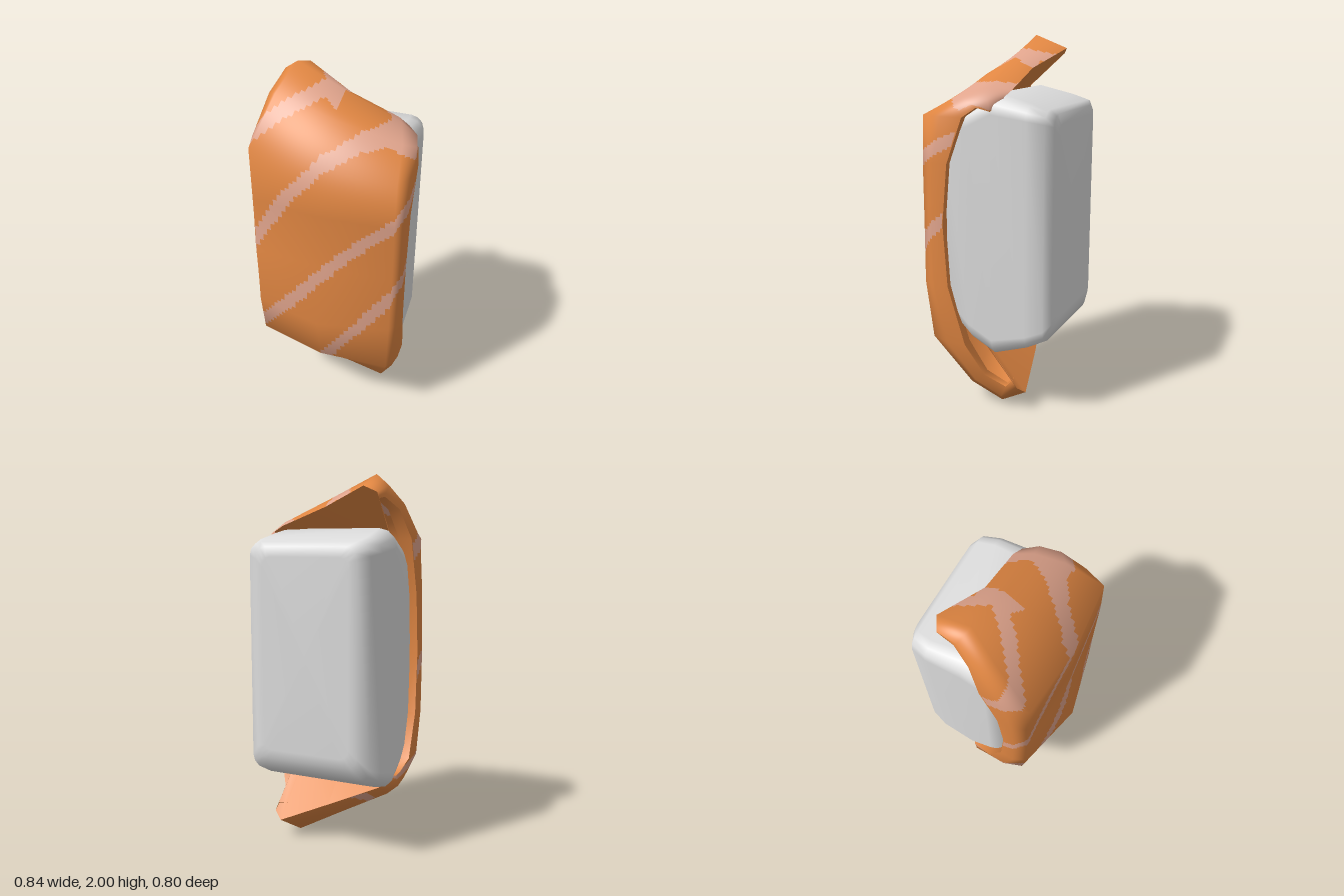
import * as THREE from 'three';

const V = (x, y, z) => new THREE.Vector3(x, y, z);
const lerp = THREE.MathUtils.lerp;

// Slab rows, top flap to bottom flap:
// left corner xyz, right corner xyz, middle z, side dx, side dy, left rim z, right rim z
const ROWS = [
  [-0.265, 1.93, -0.24, 0.25, 1.74, -0.15, -0.15, 0.06, -0.03, -0.17, -0.12],
  [-0.26, 2.0, -0.06, 0.29, 1.76, -0.06, -0.05, 0.08, -0.06, -0.12, -0.08],
  [-0.32, 1.88, 0.09, 0.34, 1.72, 0.09, 0.11, 0.06, -0.03, -0.02, -0.02],
  [-0.38, 1.67, 0.3, 0.38, 1.61, 0.29, 0.33, 0.04, 0, 0.05, 0.05],
  [-0.38, 1.37, 0.3, 0.38, 1.37, 0.3, 0.33, 0.04, 0, 0.14, 0.14],
  [-0.38, 1.05, 0.3, 0.38, 1.05, 0.3, 0.325, 0.04, 0, 0.17, 0.17],
  [-0.38, 0.71, 0.305, 0.375, 0.71, 0.305, 0.395, 0.04, 0, 0.15, 0.15],
  [-0.38, 0.47, 0.27, 0.36, 0.39, 0.27, 0.33, 0.04, 0, 0.06, 0.06],
  [-0.35, 0.33, 0.1, 0.28, 0.12, 0.08, 0.11, 0.05, 0.04, -0.02, -0.02],
  [-0.325, 0.28, -0.03, 0.2, 0.0, -0.07, -0.04, 0.07, 0.06, -0.06, -0.12],
  [-0.3, 0.33, -0.1, 0.24, 0.1, -0.23, -0.17, 0.05, 0.04, -0.08, -0.17],
];

// Centre lines of the pale bands, as [distance across, height]
const BANDS = [
  [[-0.55, 1.6], [-0.4, 1.72], [-0.25, 1.83], [-0.08, 1.91], [0, 1.86]],
  [[-0.55, 0.95], [-0.4, 1.1], [-0.2, 1.42], [0, 1.65], [0.15, 1.73], [0.28, 1.75], [0.5, 1.68]],
  [[-0.55, 0.38], [-0.4, 0.52], [-0.2, 0.76], [0, 1.0], [0.2, 1.22], [0.4, 1.4], [0.55, 1.5]],
  [[-0.25, 0.24], [0, 0.4], [0.15, 0.62], [0.4, 0.96], [0.55, 1.07]],
];

function inBand(s, y) {
  return BANDS.some((line) => line.slice(1).some(([s1, y1], k) => {
    const [s0, y0] = line[k];
    if (s < s0 || s > s1) return false;
    const slope = (y1 - y0) / (s1 - s0);
    const centre = y0 + slope * (s - s0);
    return Math.abs(y - centre) < 0.033 * Math.hypot(1, slope);
  }));
}

// Expand a row to seven points: rim, side, corner, middle, corner, side, rim
function expandRow([lx, ly, lz, rx, ry, rz, mz, dx, dy, rimL, rimR]) {
  return [
    V(lx - dx * 0.9, ly + dy * 2, rimL),
    V(lx - dx, ly + dy, (lz + rimL) / 2),
    V(lx, ly, lz),
    V((lx + rx) / 2, (ly + ry) / 2, mz),
    V(rx, ry, rz),
    V(rx + dx, ry + dy, (rz + rimR) / 2),
    V(rx + dx * 0.9, ry + dy * 2, rimR),
  ];
}

function indexed(points, index) {
  const g = new THREE.BufferGeometry().setFromPoints(points);
  g.setIndex(index);
  g.computeVertexNormals();
  return g;
}

function gridGeometry(rows) {
  const w = rows[0].length, index = [];
  for (let i = 0; i < rows.length - 1; i++)
    for (let j = 0; j < w - 1; j++) {
      const a = i * w + j, b = a + w;
      index.push(a, b, b + 1, a, b + 1, a + 1);
    }
  return indexed(rows.flat(), index);
}

// Finely divide the slab, keeping its smooth normals, and sort faces by colour
function bandedGeometry(rows, n) {
  const w = rows[0].length, h = rows.length;
  const normals = gridGeometry(rows).attributes.normal;
  const across = [-0.14, -0.06, 0, 0, 0, 0.06, 0.14];
  const W = (w - 1) * n + 1, H = (h - 1) * n + 1;
  const pos = [], nor = [], span = [], plain = [], pale = [];
  const mix = (a, b, c, d, u, v) =>
    a.clone().lerp(b, u).lerp(c.clone().lerp(d, u), v);
  const normalAt = (i, j) => V().fromBufferAttribute(normals, i * w + j);
  for (let r = 0; r < H; r++)
    for (let c = 0; c < W; c++) {
      const i = Math.min(Math.floor(r / n), h - 2), j = Math.min(Math.floor(c / n), w - 2);
      const v = r / n - i, u = c / n - j;
      const p = mix(rows[i][j], rows[i][j + 1], rows[i + 1][j], rows[i + 1][j + 1], u, v);
      const q = mix(normalAt(i, j), normalAt(i, j + 1), normalAt(i + 1, j), normalAt(i + 1, j + 1), u, v).normalize();
      pos.push(p.x, p.y, p.z);
      nor.push(q.x, q.y, q.z);
      span.push(p.x + lerp(across[j], across[j + 1], u));
    }
  for (let r = 0; r < H - 1; r++)
    for (let c = 0; c < W - 1; c++) {
      const a = r * W + c, b = a + W;
      const s = (span[a] + span[b + 1]) / 2, y = (pos[a * 3 + 1] + pos[b * 3 + 4]) / 2;
      (inBand(s, y) ? pale : plain).push(a, b, b + 1, a, b + 1, a + 1);
    }
  const g = new THREE.BufferGeometry();
  g.setAttribute('position', new THREE.Float32BufferAttribute(pos, 3));
  g.setAttribute('normal', new THREE.Float32BufferAttribute(nor, 3));
  g.setIndex(plain.concat(pale));
  g.addGroup(0, plain.length, 0);
  g.addGroup(plain.length, pale.length, 1);
  return g;
}

// Rounded block lofted from back to front: z, x range, y range, corner radius
function riceGeometry() {
  const rings = [
    [-0.4, -0.26, 0.235, 0.56, 1.58, 0.05],
    [-0.39, -0.3, 0.28, 0.51, 1.63, 0.06],
    [-0.36, -0.36, 0.33, 0.44, 1.655, 0.07],
    [-0.27, -0.385, 0.355, 0.395, 1.68, 0.08],
    [-0.08, -0.385, 0.36, 0.325, 1.725, 0.1],
    [0.05, -0.38, 0.37, 0.4, 1.66, 0.1],
    [0.17, -0.37, 0.37, 0.52, 1.58, 0.1],
  ];
  const points = [], index = [], n = 16;
  for (const [z, x0, x1, y0, y1, r] of rings)
    for (let k = 0; k < n; k++) {
      const corner = Math.floor(k / 4);
      const a = (corner + (k % 4) / 3) * Math.PI / 2;
      const cx = corner === 0 || corner === 3 ? x1 - r : x0 + r;
      const cy = corner < 2 ? y1 - r : y0 + r;
      points.push(V(cx + r * Math.cos(a), cy + r * Math.sin(a), z));
    }
  const last = (rings.length - 1) * n, back = points.length;
  points.push(V(-0.01, 1.07, -0.4), V(0, 1.05, 0.17));
  for (let j = 0; j < n; j++) {
    const k = (j + 1) % n;
    for (let i = 0; i < last; i += n)
      index.push(i + j, i + k, i + n + k, i + j, i + n + k, i + n + j);
    index.push(back, k, j, back + 1, last + j, last + k);
  }
  return indexed(points, index);
}

export function createModel() {
  const group = new THREE.Group();
  const material = (name, color) => {
    const m = new THREE.MeshStandardMaterial({ color, side: THREE.DoubleSide });
    m.name = name;
    return m;
  };
  const fish = material('orange fish', 0xe08642);
  const pale = material('pale fish bands', 0xe0a48c);
  const white = material('rice white', 0xdcdcdc);
  const add = (name, geometry, mat) => {
    const mesh = new THREE.Mesh(geometry, mat);
    mesh.name = name;
    group.add(mesh);
  };

  add('riceBlock', riceGeometry(), white);

  const rows = ROWS.map(expandRow);
  add('fishSlice', bandedGeometry(rows, 16), [fish, pale]);

  // Undersides of the two end flaps, running back into the rice
  const tuck = (row, y, z) => row.map((p) => V(p.x * 0.95, lerp(p.y, y, 0.85), z));
  add('topFlapUnderside', gridGeometry([tuck(rows[0], 1.66, 0.02), rows[0]]), fish);
  add('bottomFlapUnderside', gridGeometry([rows[10], tuck(rows[10], 0.4, 0.0)]), fish);

  // Thin lips closing the gap between the slice rim and the rice
  for (const [name, col] of [['rightRimLip', 0], ['leftRimLip', 6]])
    add(name, gridGeometry(rows.map((r) => [r[col], V(r[col].x * 0.82, r[col].y, r[col].z + 0.01)])), fish);

  return group;
}
